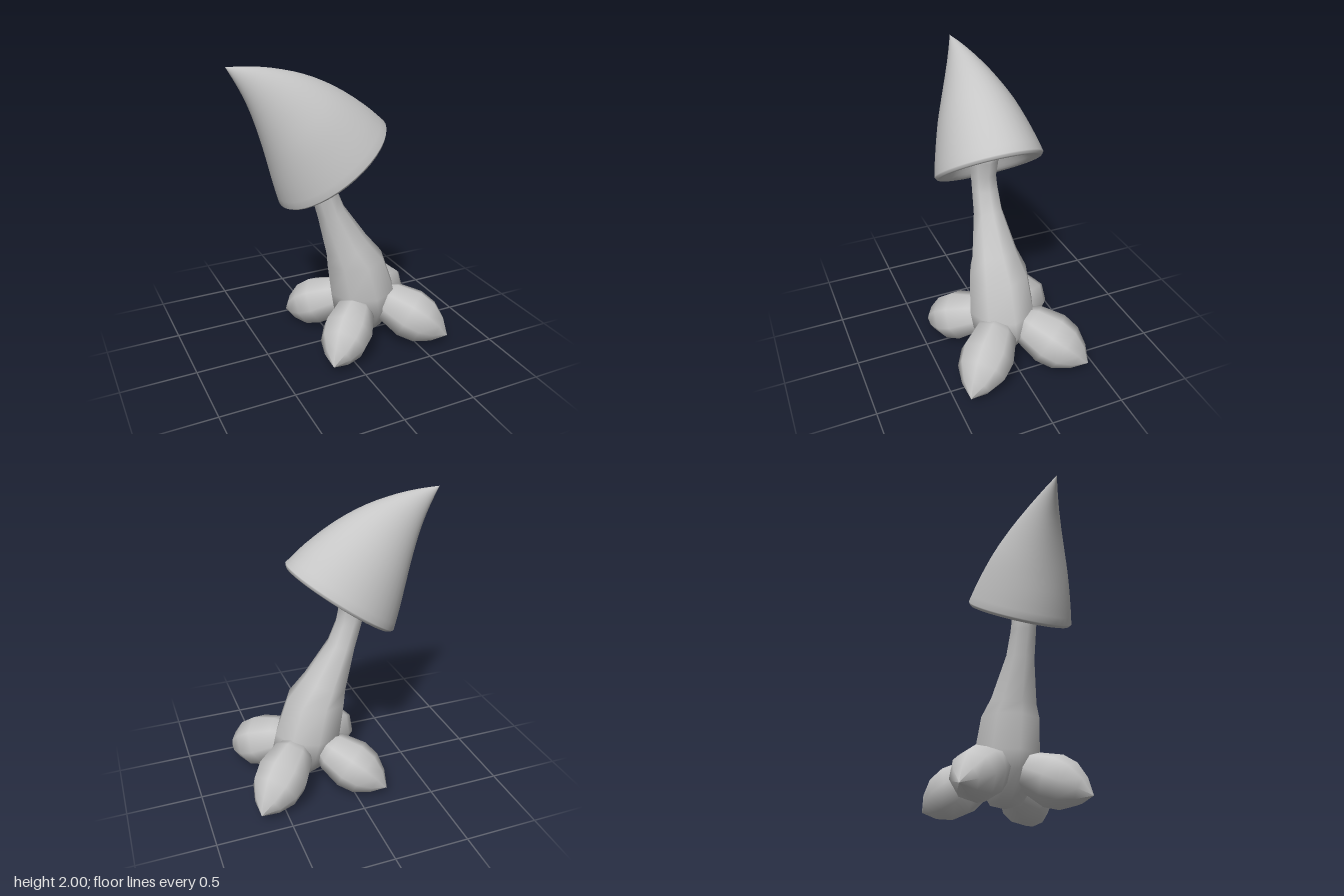
import * as THREE from 'three';

const stone = new THREE.MeshStandardMaterial({ color: 0xc6c6c6 });
stone.name = 'light grey';

// Loft through elliptical sections [ux, uy, lx, ly, halfDepth]:
// u and l are the +x and -x ends of each ellipse, listed from bottom to top.
function loft(sections, sides, zMid) {
  const pos = [], index = [];
  sections.forEach(([ux, uy, lx, ly, w], i) => {
    for (let j = 0; j < sides; j++) {
      const a = (j / sides) * Math.PI * 2, c = Math.cos(a) / 2;
      pos.push((ux + lx) / 2 + (ux - lx) * c, (uy + ly) / 2 + (uy - ly) * c, zMid + w * Math.sin(a));
      if (i === sections.length - 1) continue;
      const p = i * sides + j, q = i * sides + (j + 1) % sides;
      index.push(p, p + sides, q, q, p + sides, q + sides);
    }
  });
  const g = new THREE.BufferGeometry();
  g.setAttribute('position', new THREE.Float32BufferAttribute(pos, 3));
  g.setIndex(index);
  g.computeVertexNormals();
  return g;
}

// Add in-between sections along smooth curves
function refine(sections, steps) {
  const curve = (f) => new THREE.CatmullRomCurve3(sections.map(f));
  const u = curve((s) => new THREE.Vector3(s[0], s[1], 0));
  const l = curve((s) => new THREE.Vector3(s[2], s[3], 0));
  const w = curve((s, i) => new THREE.Vector3(s[4], i * 0.1, 0));
  return Array.from({ length: steps + 1 }, (_, i) => {
    const t = i / steps, a = u.getPoint(t), b = l.getPoint(t);
    return [a.x, a.y, b.x, b.y, w.getPoint(t).x];
  });
}

function addMesh(parent, name, geometry) {
  const mesh = new THREE.Mesh(geometry, stone);
  mesh.name = name;
  parent.add(mesh);
  return mesh;
}

export function createModel() {
  const model = new THREE.Group();
  model.name = 'mushroom';

  // Bent stem, swollen at the foot
  addMesh(model, 'stem', loft([
    [0.26, 0.05, 0.26, 0.05, 0],
    [0.36, 0.08, 0.14, 0.08, 0.11],
    [0.48, 0.27, 0.0, 0.25, 0.215],
    [0.455, 0.38, -0.02, 0.37, 0.228],
    [0.365, 0.63, -0.05, 0.6, 0.205],
    [0.24, 0.78, -0.055, 0.68, 0.16],
    [0.07, 1.02, -0.12, 0.97, 0.1],
    [0.015, 1.15, -0.17, 1.15, 0.09],
    [-0.005, 1.25, -0.19, 1.23, 0.088],
    [0.015, 1.36, -0.19, 1.33, 0.1],
    [0.02, 1.42, -0.17, 1.42, 0.1],
    [-0.02, 1.47, -0.12, 1.48, 0.065],
    [-0.07, 1.5, -0.07, 1.5, 0],
  ], 8, 0.015));

  // Hollow underside of the cap: [radius, depth along the cap normal]
  const underside = [[0, 0.15], [0.25, 0.15], [0.5, 0.11], [0.7, 0.04], [0.85, -0.012], [0.95, -0.022], [1, 0]]
    .map(([r, d]) => {
      const x = -0.02 - 0.581 * d, y = 1.34 + 0.813 * d;
      return [x + 0.35 * r, y + 0.25 * r, x - 0.35 * r, y - 0.25 * r, 0.35 * r];
    });
  // Leaning cone of the cap, from the rim to the tip
  const crown = [
    [0.33, 1.59, -0.37, 1.09, 0.35],
    [0.2, 1.7, -0.41, 1.23, 0.312],
    [0.0, 1.83, -0.45, 1.39, 0.255],
    [-0.2, 1.92, -0.5, 1.57, 0.18],
    [-0.4, 1.972, -0.56, 1.745, 0.105],
    [-0.55, 1.993, -0.62, 1.875, 0.05],
    [-0.69, 2.0, -0.69, 2.0, 0],
  ];
  addMesh(model, 'cap', loft([...refine(underside, 18), ...refine(crown, 18).slice(1)], 40, 0.012));

  // Four pointed bulbs spread around the foot
  const bulbShape = new THREE.LatheGeometry(
    [[0, -0.58], [0.085, -0.53], [0.14, -0.45], [0.175, -0.29], [0.157, -0.18], [0.092, -0.08], [0, 0]]
      .map(([r, y]) => new THREE.Vector2(r, y)), 8);
  for (const sx of [-1, 1]) {
    for (const sz of [-1, 1]) {
      const bulb = addMesh(model, 'footBulb', bulbShape);
      bulb.position.set(0.245 + sx * 0.44, sx > 0 ? 0.08 : 0.07, sz * 0.425);
      bulb.quaternion.setFromUnitVectors(
        new THREE.Vector3(0, 1, 0),
        new THREE.Vector3(sx * 0.65, -0.42, sz * 0.63).normalize());
      bulb.scale.setScalar(sx > 0 ? 1.05 : 1);
    }
  }
  return model;
}
